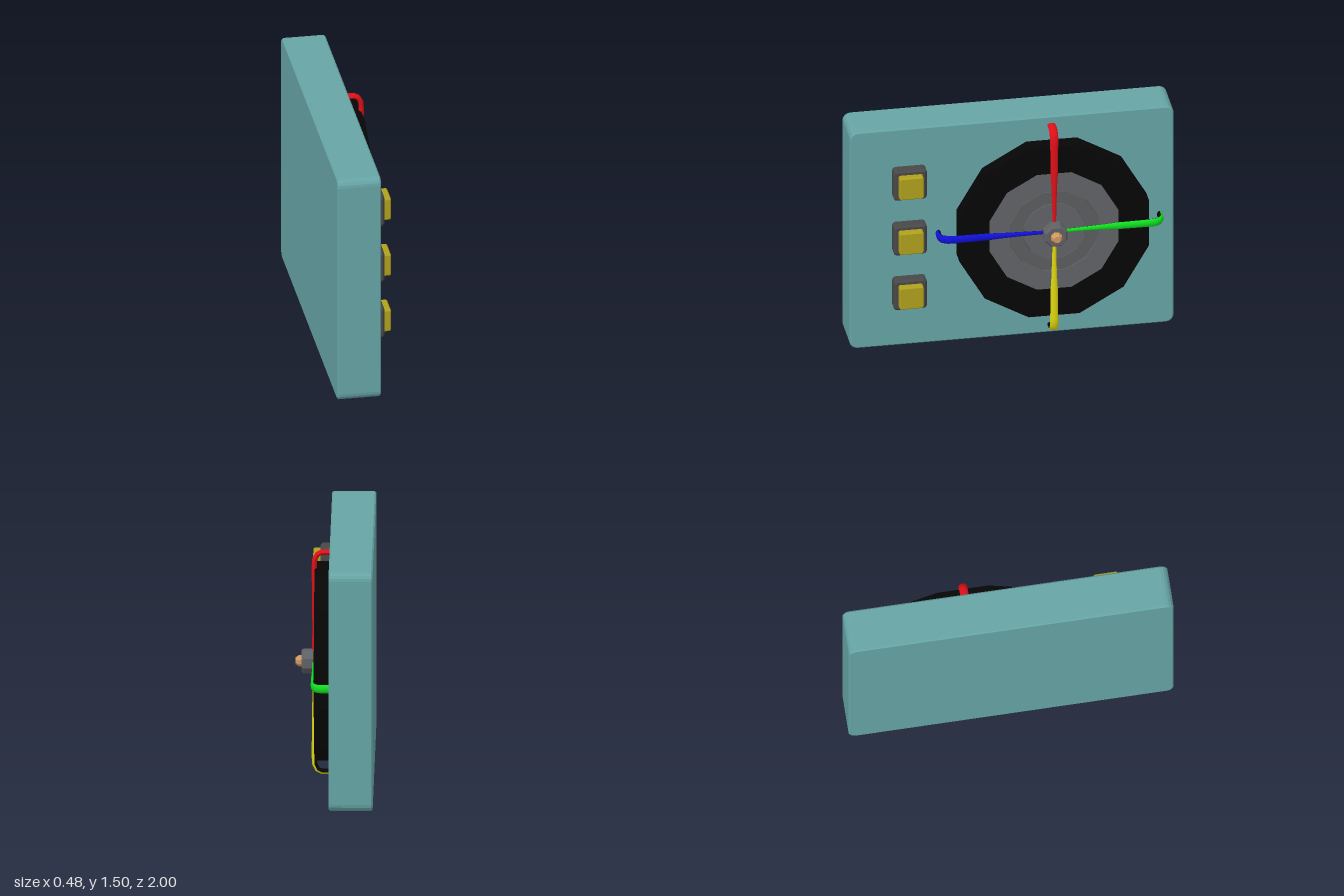
import * as THREE from 'three';

const mat = (color, extra = {}) => new THREE.MeshStandardMaterial({ color, flatShading: true, ...extra });

function add(parent, name, geometry, material) {
  const mesh = new THREE.Mesh(geometry, material);
  mesh.name = name;
  parent.add(mesh);
  return mesh;
}

// Plate lying in the YZ plane from x0 to x1, with rounded corners and chamfered rims.
function plate(depthZ, height, x0, x1, radius, bevel, segments) {
  const w = depthZ / 2 - bevel, h = height / 2 - bevel, r = radius;
  const s = new THREE.Shape();
  s.moveTo(-w + r, -h);
  s.absarc(w - r, -h + r, r, -Math.PI / 2, 0);
  s.absarc(w - r, h - r, r, 0, Math.PI / 2);
  s.absarc(-w + r, h - r, r, Math.PI / 2, Math.PI);
  s.absarc(-w + r, -h + r, r, Math.PI, Math.PI * 1.5);
  const g = new THREE.ExtrudeGeometry(s, {
    depth: x1 - x0 - 2 * bevel, bevelEnabled: true, bevelThickness: bevel,
    bevelSize: bevel, bevelSegments: 1, curveSegments: segments,
  });
  return g.translate(0, 0, x0 + bevel).rotateY(Math.PI / 2);
}

// Turned part around the x axis; profile is [radius, x], starting at the back.
function turned(profile, sides) {
  const pts = profile.map(([r, x]) => new THREE.Vector2(r, x));
  return new THREE.LatheGeometry(pts, sides, Math.PI / sides).rotateZ(-Math.PI / 2);
}

const ring = (inner, outer, x0, x1) =>
  turned([[inner, x0], [outer, x0], [outer, x1], [inner, x1], [inner, x0]], 12);

// Hooked wire stations: x, distance from the hub, half width, half thickness.
const WIRE = [
  [0.02, 0.685, 0.026, 0.016], [0.08, 0.685, 0.026, 0.016], [0.106, 0.672, 0.026, 0.016],
  [0.122, 0.64, 0.026, 0.016], [0.125, 0.6, 0.025, 0.016], [0.125, 0.4, 0.023, 0.015],
  [0.125, 0.32, 0.018, 0.013], [0.126, 0.2, 0.014, 0.011], [0.13, 0.03, 0.01, 0.009],
];

// Half of the wire's skin, swept between two angles of its oval section.
function wireHalf(reach, start) {
  const steps = 6, pos = [], index = [];
  const path = WIRE.map(([x, y, w, t]) => [x, (y * reach) / 0.685, w, t]);
  path.forEach(([x, y, w, t], i) => {
    const a = path[Math.max(i - 1, 0)], b = path[Math.min(i + 1, path.length - 1)];
    const len = Math.hypot(b[0] - a[0], b[1] - a[1]);
    const nx = -(b[1] - a[1]) / len, ny = (b[0] - a[0]) / len;
    for (let j = 0; j <= steps; j++) {
      const ang = start + (j / steps) * Math.PI, k = t * Math.sin(ang);
      pos.push(x + nx * k, y + ny * k, w * Math.cos(ang));
      if (i < path.length - 1 && j < steps) {
        const p = i * (steps + 1) + j, q = p + steps + 1;
        index.push(p, q, q + 1, p, q + 1, p + 1);
      }
    }
  });
  const g = new THREE.BufferGeometry();
  g.setAttribute('position', new THREE.Float32BufferAttribute(pos, 3));
  g.setIndex(index);
  g.computeVertexNormals();
  return g;
}

export function createModel() {
  const model = new THREE.Group();
  model.name = 'controlPanel';
  const black = mat(0x060606), dark = mat(0x484848), grey = mat(0x626366);
  const midGrey = mat(0x5c5d5f), buttonYellow = mat(0xb0a11e), bronze = mat(0xd09860);

  // Backing panel
  const panel = plate(2, 1.5, -0.238, 0.03, 0.04, 0.009, 2);
  add(model, 'panel', panel, mat(0x66a4a5)).position.y = 0.75;

  // Three square push buttons
  for (const y of [1.138, 0.757, 0.378]) {
    const button = new THREE.Group();
    button.name = 'button';
    button.position.set(0, y, 0.637);
    add(button, 'buttonBase', plate(0.205, 0.205, 0.015, 0.097, 0.01, 0.012, 1), dark);
    add(button, 'buttonCap', plate(0.15, 0.15, 0.08, 0.141, 0.006, 0.007, 1), buttonYellow);
    model.add(button);
  }

  // Dial made of concentric twelve-sided rings
  const dial = new THREE.Group();
  dial.name = 'dial';
  dial.position.set(0, 0.753, -0.245);
  model.add(dial);
  add(dial, 'outerRing', ring(0.4, 0.606, 0.02, 0.122), black);
  add(dial, 'wideRing', ring(0.282, 0.412, 0.02, 0.123), grey);
  add(dial, 'middleRing', ring(0.195, 0.278, 0.02, 0.122), midGrey);
  add(dial, 'centreDisc', turned([[0, 0.02], [0.191, 0.02], [0.191, 0.123], [0, 0.123]], 12), grey);

  // Hub nut and its bronze stud
  add(dial, 'hubNut', turned([[0, 0.118], [0.065, 0.118], [0.077, 0.133], [0.077, 0.188],
    [0.065, 0.203], [0, 0.203]], 8), mat(0x606164));
  add(dial, 'hubStud', turned([[0, 0.19], [0.036, 0.19], [0.036, 0.217], [0.022, 0.238], [0, 0.238]], 8), bronze);

  // Four hooked wires, one fully red, the others black on the inside
  const red = 0xe01018, lining = 0x060606;
  const wires = [
    ['redWire', red, red, 0.685], ['blueWire', 0x1010d8, lining, 0.7],
    ['yellowWire', 0xe0d810, lining, 0.695], ['greenWire', 0x10dc20, lining, 0.667],
  ];
  wires.forEach(([name, outside, inside, reach], i) => {
    const wire = new THREE.Group();
    wire.name = name;
    wire.rotation.x = (i * Math.PI) / 2;
    add(wire, 'wireOuterHalf', wireHalf(reach, 0), mat(outside, { flatShading: false }));
    add(wire, 'wireInnerHalf', wireHalf(reach, Math.PI), mat(inside, { flatShading: false }));
    dial.add(wire);
  });

  return model;
}
